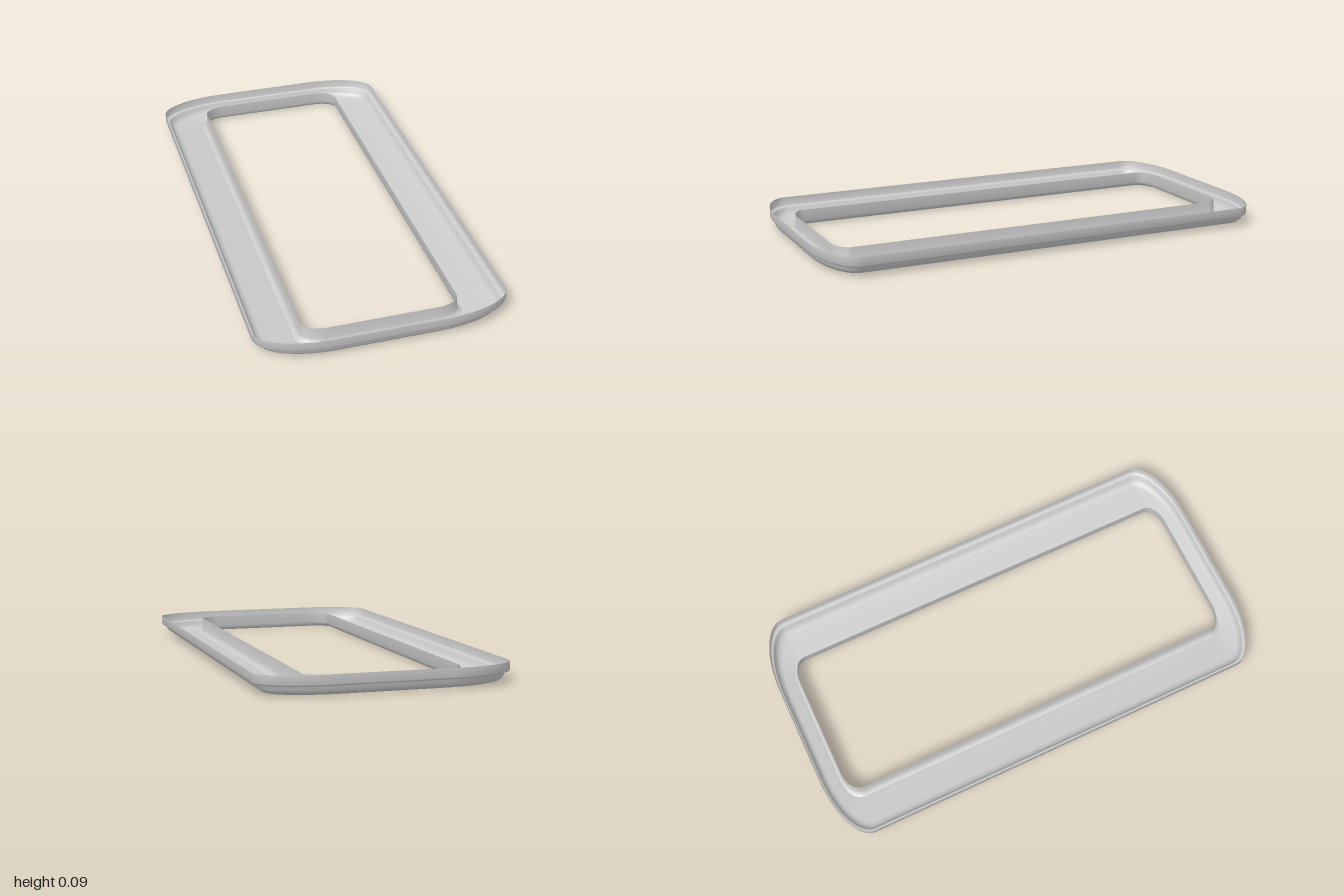
import * as THREE from 'three';
import { toCreasedNormals } from 'three/addons/utils/BufferGeometryUtils.js';

const CORNER_STEPS = 16;

// Closed rectangular ring with elliptical corners: half sizes hx, hz, corner radii rx, rz
function ring([y, hx, hz, rx, rz]) {
  const points = [];
  for (let q = 0; q < 4; q++) {
    const sx = q === 0 || q === 3 ? 1 : -1;
    const sz = q < 2 ? 1 : -1;
    for (let i = 0; i <= CORNER_STEPS; i++) {
      const a = (q + i / CORNER_STEPS) * Math.PI / 2;
      points.push([
        sx * (hx - rx) + rx * Math.cos(a),
        y,
        sz * (hz - rz) + rz * Math.sin(a),
      ]);
    }
  }
  return points;
}

// Skin a sheet through successive rings
function loft(name, sections, material) {
  const rings = sections.map(ring);
  const n = rings[0].length;
  const index = [];
  for (let r = 0; r < rings.length - 1; r++) {
    for (let j = 0; j < n; j++) {
      const a = r * n + j;
      const b = r * n + (j + 1) % n;
      index.push(a, b, a + n, b, b + n, a + n);
    }
  }
  const geometry = new THREE.BufferGeometry();
  geometry.setAttribute('position', new THREE.Float32BufferAttribute(rings.flat(2), 3));
  geometry.setIndex(index);
  const mesh = new THREE.Mesh(toCreasedNormals(geometry, 0.7), material);
  mesh.name = name;
  return mesh;
}

export function createModel() {
  const group = new THREE.Group();
  group.name = 'frameTray';
  const material = new THREE.MeshStandardMaterial({ color: 0xcccccc, side: THREE.DoubleSide });

  // Upright outer lip, rounded under into a small step
  group.add(loft('outerRim', [
    [0.085, 0.525, 1.0, 0.3, 0.13],
    [0.050, 0.525, 1.0, 0.3, 0.13],
    [0.045, 0.522, 0.998, 0.3, 0.13],
    [0.043, 0.517, 0.996, 0.3, 0.13],
    [0.042, 0.508, 0.992, 0.29, 0.125],
  ], material));

  // Curved pan side running into the flat floor
  group.add(loft('trayFloor', [
    [0.042, 0.508, 0.992, 0.29, 0.125],
    [0.036, 0.504, 0.990, 0.29, 0.125],
    [0.026, 0.500, 0.987, 0.285, 0.122],
    [0.016, 0.492, 0.982, 0.28, 0.118],
    [0.009, 0.482, 0.975, 0.275, 0.114],
    [0.005, 0.468, 0.965, 0.27, 0.11],
    [0.004, 0.370, 0.930, 0.13, 0.08],
    [0.000, 0.350, 0.920, 0.11, 0.07],
  ], material));

  // Wall around the opening, filleted at its foot
  group.add(loft('innerWall', [
    [0.000, 0.350, 0.920, 0.11, 0.07],
    [0.003, 0.341, 0.914, 0.105, 0.066],
    [0.010, 0.333, 0.909, 0.1, 0.063],
    [0.022, 0.328, 0.906, 0.1, 0.06],
    [0.070, 0.326, 0.905, 0.1, 0.06],
  ], material));

  return group;
}
